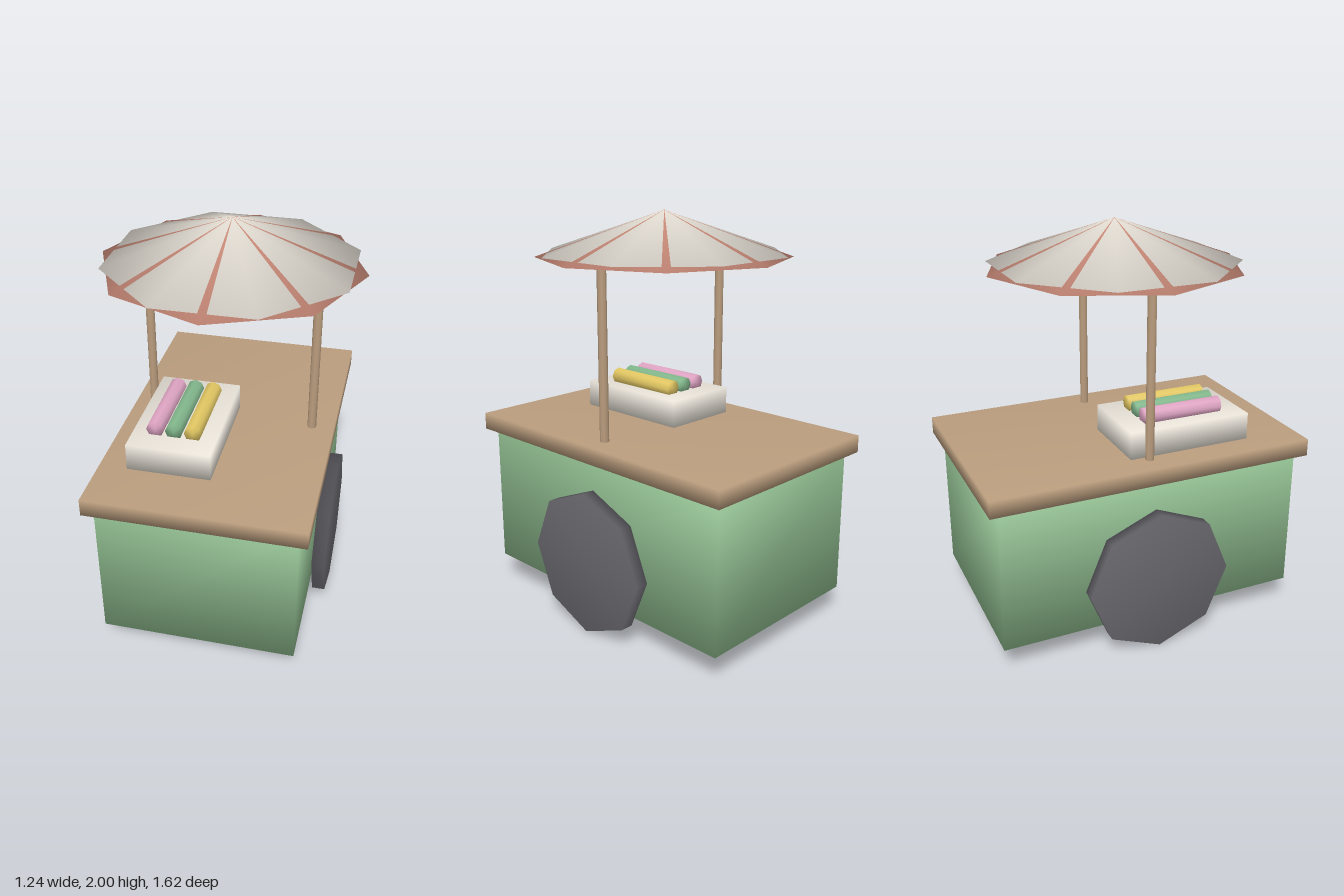
import * as THREE from 'three';
import { mergeVertices } from 'three/addons/utils/BufferGeometryUtils.js';

// Weld shared corners so shading flows smoothly over the low-poly shapes
function soften(geometry) {
  geometry.deleteAttribute('uv');
  geometry.deleteAttribute('normal');
  const welded = mergeVertices(geometry, 1e-4);
  welded.computeVertexNormals();
  return welded;
}

export function createModel() {
  const group = new THREE.Group();
  const paint = (color) => new THREE.MeshStandardMaterial({ color });
  const wood = paint(0xb99c7d);
  const green = paint(0x8fbc8f);
  const cream = paint(0xe8e2d8);
  const coral = paint(0xd08f7d);
  const rubber = paint(0x65656b);

  function add(name, geometry, material, x, y, z) {
    const mesh = new THREE.Mesh(soften(geometry), material);
    mesh.name = name;
    mesh.position.set(x, y, z);
    group.add(mesh);
    return mesh;
  }

  // Cart body and counter
  add('body', new THREE.BoxGeometry(0.94, 0.73, 1.53), green, 0, 0.505, 0);
  add('counter', new THREE.BoxGeometry(1.03, 0.085, 1.62), wood, 0, 0.903, 0);

  // Wheels and canopy posts on both sides
  for (const [side, s] of [['left', 1], ['right', -1]]) {
    const wheel = new THREE.CylinderGeometry(0.36, 0.36, 0.065, 8).rotateX(0).rotateZ(Math.PI / 2);
    add(side + 'Wheel', wheel, rubber, s * 0.517, 0.36, 0);
    add(side + 'Post', new THREE.CylinderGeometry(0.022, 0.022, 0.86, 8), wood, s * 0.405, 1.36, 0);
  }

  // Tray with three rolls of ice cream
  add('tray', new THREE.BoxGeometry(0.4, 0.135, 0.625), cream, -0.18, 1.012, 0.228);
  [0xdfa5c4, 0x82b78c, 0xe2c763].forEach((color, i) => {
    const roll = new THREE.CylinderGeometry(0.042, 0.042, 0.405, 8).rotateX(Math.PI / 2);
    add('roll' + (i + 1), roll, paint(color), -0.27 + 0.09 * i, 1.108, 0.228);
  });

  // Canopy: two octagonal cones turned against each other, so the coral ridges show as ribs
  add('canopyLining', new THREE.ConeGeometry(0.622, 0.22, 8), coral, 0, 1.89, 0);
  add('canopyCover', new THREE.ConeGeometry(0.605, 0.2005, 8).rotateY(Math.PI / 8), cream, 0, 1.8997, 0);

  return group;
}
